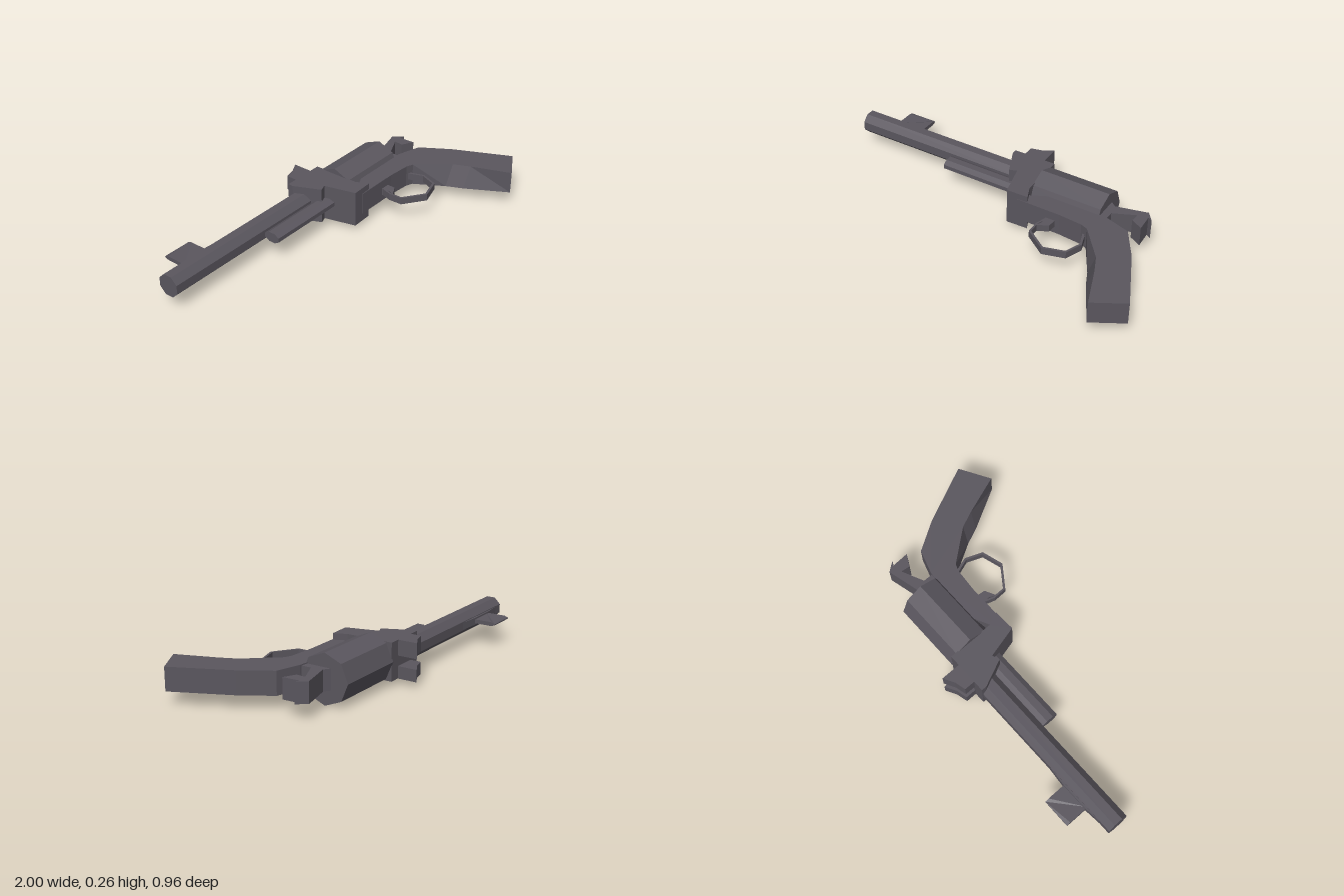
import * as THREE from 'three';

const metal = new THREE.MeshStandardMaterial({ color: 0x5a565e, flatShading: true });
const MID = 0.132;

// Plate with an outline in x/z, filling the height from y0 to y1
function plate(name, outline, y0, y1, hole) {
  const toPoints = (list) => list.map(([x, z]) => new THREE.Vector2(x, z));
  const shape = new THREE.Shape(toPoints(outline));
  if (hole) shape.holes.push(new THREE.Path(toPoints(hole)));
  const geo = new THREE.ExtrudeGeometry(shape, { depth: y1 - y0, bevelEnabled: false });
  geo.rotateX(Math.PI / 2);
  geo.translate(0, y1, 0);
  const mesh = new THREE.Mesh(geo, metal);
  mesh.name = name;
  return mesh;
}

// Faceted bar along x, with its own radii in y and z
function bar(name, x0, x1, z, ry, rz, turn = 0) {
  const geo = new THREE.CylinderGeometry(1, 1, x1 - x0, 8);
  geo.rotateY(turn);
  geo.rotateZ(Math.PI / 2);
  geo.scale(1, ry, rz);
  geo.translate((x0 + x1) / 2, MID, z);
  const mesh = new THREE.Mesh(geo, metal);
  mesh.name = name;
  return mesh;
}

export function createModel() {
  const group = new THREE.Group();
  group.name = 'revolver';

  // Barrel, rod beneath it and cylinder
  group.add(bar('barrel', -1, 0.1, -0.297, 0.063, 0.063, Math.PI / 8));
  group.add(bar('ejectorRod', -0.385, 0.1, -0.19, 0.03, 0.05, Math.PI / 8));
  group.add(bar('cylinder', 0.175, 0.57, -0.235, 0.132, 0.132));

  // Front sight on a low ramp
  group.add(plate('sightRamp', [[-1, -0.35], [-0.83, -0.366], [-0.68, -0.366], [-0.5, -0.35]], 0.112, 0.152));
  const blade = plate('frontSight', [[-0.84, -0.35], [-0.84, -0.465], [-0.84, -0.487], [-0.68, -0.487], [-0.68, -0.465], [-0.68, -0.35]], 0.121, 0.143);
  const bp = blade.geometry.attributes.position;
  for (let i = 0; i < bp.count; i++) {
    if (bp.getZ(i) < -0.48) bp.setY(i, MID + (bp.getY(i) - MID) * 0.3);
  }
  blade.geometry.computeVertexNormals();
  group.add(blade);

  // Wide block between barrel and cylinder, with a pair of rear sights
  group.add(plate('frontBlock', [
    [-0.06, -0.36], [0.18, -0.36], [0.18, -0.1], [0.21, -0.03],
    [0.09, -0.025], [0.045, -0.2], [0.005, -0.185], [-0.06, -0.33],
  ], 0.03, 0.232));
  const sight = [[0, -0.355], [0, -0.42], [0.06, -0.435], [0.12, -0.468], [0.12, -0.355]];
  group.add(plate('rearSightRight', sight, 0.03, 0.095));
  group.add(plate('rearSightLeft', sight, 0.15, 0.232));

  // Frame and grip; the front strap slants across its width
  const grip = plate('frameAndGrip', [
    [0.15, -0.07], [0.21, -0.1], [0.28, -0.135], [0.57, -0.135], [0.62, -0.13], [0.75, -0.09],
    [0.85, 0.07], [0.995, 0.38], [0.83, 0.475], [0.75, 0.26], [0.71, 0.17],
    [0.57, 0], [0.53, -0.015], [0.4, -0.025], [0.15, -0.025],
  ], 0.075, 0.198);
  const gp = grip.geometry.attributes.position;
  for (let i = 0; i < gp.count; i++) {
    const x = gp.getX(i), z = gp.getZ(i);
    if (gp.getY(i) < MID && z > 0.1 && z < 0.3 && x < 0.8) gp.setXYZ(i, x - 0.045, gp.getY(i), z - 0.01);
  }
  grip.geometry.computeVertexNormals();
  group.add(grip);

  // Hammer with a hooked spur
  group.add(plate('hammer', [
    [0.55, -0.11], [0.55, -0.27], [0.57, -0.27], [0.6, -0.247], [0.77, -0.29], [0.81, -0.237],
    [0.785, -0.25], [0.79, -0.155], [0.725, -0.19], [0.73, -0.24], [0.61, -0.185], [0.61, -0.11],
  ], 0.083, 0.192));

  // Trigger and open guard
  group.add(plate('trigger', [[0.32, -0.03], [0.375, -0.03], [0.37, 0.025], [0.31, 0.055], [0.325, 0.02]], 0.113, 0.151));
  group.add(plate('triggerGuard', [
    [0.325, -0.03], [0.303, 0.04], [0.305, 0.115], [0.425, 0.2], [0.545, 0.165], [0.582, 0.07], [0.55, -0.03],
    [0.535, -0.03], [0.57, 0.07], [0.536, 0.155], [0.427, 0.187], [0.315, 0.108], [0.313, 0.04], [0.335, -0.03],
  ], 0.113, 0.151));

  return group;
}
